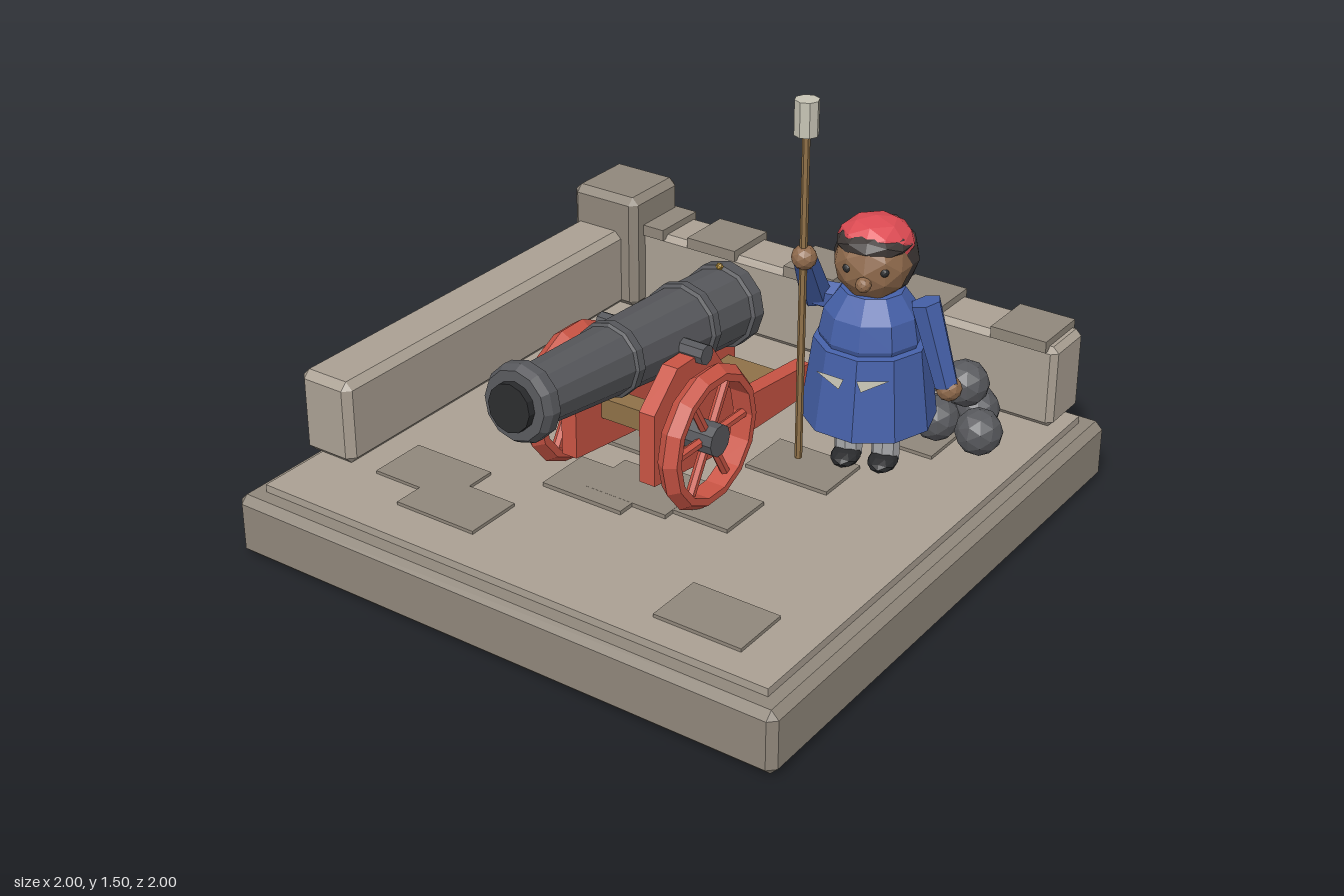
import * as THREE from 'three';
import { ConvexGeometry } from 'three/addons/geometries/ConvexGeometry.js';

const mat = (color) => new THREE.MeshStandardMaterial({ color, flatShading: true, side: THREE.DoubleSide });
const M = {
  stone: mat(0xaaa093), darkStone: mat(0x90877b), iron: mat(0x57585c), bore: mat(0x2a2b2d),
  red: mat(0xc95444), wood: mat(0x8f7148), blue: mat(0x4560a8), skin: mat(0x8f6a4c),
  hair: mat(0x3d3735), cap: mat(0xdb4a52), pale: mat(0xc6c3b4), trousers: mat(0xa9aaac), brass: mat(0xb8923a),
};

function add(parent, name, geometry, material, x = 0, y = 0, z = 0) {
  const mesh = new THREE.Mesh(geometry, material);
  mesh.name = name;
  mesh.position.set(x, y, z);
  parent.add(mesh);
  return mesh;
}

function group(parent, name) {
  const g = new THREE.Group();
  g.name = name;
  parent.add(g);
  return g;
}

// Box given by its limits on each axis
function box(parent, name, material, x0, x1, y0, y1, z0, z1) {
  return add(parent, name, new THREE.BoxGeometry(x1 - x0, y1 - y0, z1 - z0), material,
    (x0 + x1) / 2, (y0 + y1) / 2, (z0 + z1) / 2);
}

// Box with every edge chamfered by c
function chamferBox(parent, name, material, x0, x1, y0, y1, z0, z1, c) {
  const h = [(x1 - x0) / 2, (y1 - y0) / 2, (z1 - z0) / 2];
  const points = [];
  for (const sx of [-1, 1]) for (const sy of [-1, 1]) for (const sz of [-1, 1])
    for (let k = 0; k < 3; k++) {
      const [a, b, d] = h.map((v, i) => (i === k ? v : v - c));
      points.push(new THREE.Vector3(sx * a, sy * b, sz * d));
    }
  return add(parent, name, new ConvexGeometry(points), material,
    (x0 + x1) / 2, (y0 + y1) / 2, (z0 + z1) / 2);
}

// Tapered cylinder between two points
function rod(parent, name, material, from, to, r0, r1 = r0, sides = 6) {
  const a = new THREE.Vector3(...from), b = new THREE.Vector3(...to);
  const dir = b.clone().sub(a);
  const mesh = add(parent, name, new THREE.CylinderGeometry(r1, r0, dir.length(), sides), material);
  mesh.position.copy(a).add(b).multiplyScalar(0.5);
  mesh.quaternion.setFromUnitVectors(new THREE.Vector3(0, 1, 0), dir.normalize());
  return mesh;
}

const ball = (r, detail = 1) => new THREE.IcosahedronGeometry(r, detail);
const lathe = (pairs, sides) => new THREE.LatheGeometry(pairs.map((p) => new THREE.Vector2(...p)), sides);

function buildPlatform(root) {
  const g = group(root, 'platform');
  chamferBox(g, 'base', M.darkStone, -1, 1, 0, 0.21, -1, 1, 0.025);
  box(g, 'floor', M.stone, -0.935, 0.935, 0.2, 0.236, -0.93, 0.93);
  // Loose paving stones: x and z of the low corner
  const paving = [[-0.57, -0.4], [-0.7, 0.48], [-0.52, 0.585], [0.48, 0.63], [0.38, -0.6],
    [0.225, -0.22], [-0.295, -0.09], [0.1, 0.14], [-0.225, 0.24], [-0.1, 0.18]];
  paving.forEach(([x, z], i) =>
    box(g, 'pavingStone', M.darkStone, x, x + 0.3, 0.23, 0.246 + i * 0.0004, z, z + 0.2));
  // Parapet walls with a corner post
  chamferBox(g, 'backWall', M.stone, -0.9, 0.9, 0.236, 0.525, -0.99, -0.79, 0.02);
  chamferBox(g, 'sideWall', M.stone, -0.99, -0.785, 0.236, 0.525, -0.9, 0.7, 0.025);
  chamferBox(g, 'cornerPost', M.darkStone, -1, -0.725, 0.236, 0.66, -1, -0.725, 0.025);
  for (const x of [-0.74, -0.435, -0.033, 0.367, 0.767])
    box(g, 'copingStone', M.darkStone, x - 0.1, x + 0.1, 0.51, 0.55, -0.985, -0.78);
}

function buildBarrel(root) {
  const g = group(root, 'barrel');
  g.position.set(0, 0.702, 0.16);
  g.rotation.x = -0.093;
  // Profile of radius against distance ahead of the trunnions
  const profile = [[0, -0.43], [0.1, -0.42], [0.14, -0.405], [0.14, -0.355], [0.128, -0.35], [0.125, -0.175],
    [0.137, -0.17], [0.137, -0.14], [0.125, -0.135], [0.112, 0.2], [0.12, 0.205], [0.12, 0.235],
    [0.11, 0.24], [0.093, 0.6], [0.122, 0.615], [0.122, 0.65], [0.108, 0.675], [0, 0.675]];
  add(g, 'tube', lathe(profile, 12).rotateX(Math.PI / 2), M.iron);
  add(g, 'muzzle', new THREE.CylinderGeometry(0.075, 0.075, 0.05, 12).rotateX(Math.PI / 2), M.bore, 0, 0, 0.675);
  rod(g, 'breechNeck', M.iron, [0, 0, -0.5], [0, 0, -0.4], 0.025, 0.035, 8);
  add(g, 'breechKnob', ball(0.045), M.iron, 0, 0, -0.485);
  add(g, 'touchHole', ball(0.013, 0), M.brass, 0, 0.138, -0.345);
  rod(g, 'trunnions', M.iron, [-0.2, 0, 0], [0.2, 0, 0], 0.033, 0.033, 8);
}

function buildCarriage(root) {
  const g = group(root, 'carriage');
  // Side cheek outline as z, y
  const outline = [[0.4, 0.35], [0.4, 0.59], [0.28, 0.7], [0.1, 0.7], [0.02, 0.59], [-0.07, 0.44],
    [-0.47, 0.4], [-0.47, 0.29], [0.1, 0.31]];
  const cheek = new THREE.ExtrudeGeometry(new THREE.Shape(outline.map((p) => new THREE.Vector2(...p))),
    { depth: 0.056, bevelEnabled: false }).translate(0, 0, -0.028).rotateY(-Math.PI / 2);
  const rim = lathe([[0.188, -0.035], [0.212, -0.035], [0.236, 0], [0.212, 0.035], [0.188, 0.035],
    [0.188, -0.035]], 14).rotateZ(Math.PI / 2);
  for (const s of [-1, 1]) {
    add(g, 'cheek', cheek, M.red, s * 0.148);
    const wheel = group(g, 'wheel');
    wheel.position.set(s * 0.256, 0.473, 0.235);
    add(wheel, 'rim', rim, M.red);
    for (let i = 0; i < 6; i++) {
      const a = i * Math.PI / 3;
      rod(wheel, 'spoke', M.red, [0, 0, 0], [0, 0.2 * Math.sin(a), 0.2 * Math.cos(a)], 0.016);
    }
    rod(wheel, 'hub', M.iron, [-s * 0.075, 0, 0], [s * 0.045, 0, 0], 0.052, 0.052, 10);
  }
  box(g, 'axle', M.wood, -0.2, 0.2, 0.435, 0.505, 0.2, 0.27);
  box(g, 'bed', M.wood, -0.125, 0.125, 0.3, 0.36, -0.43, 0.05);
}

function buildGunner(root) {
  const g = group(root, 'gunner');
  const body = group(g, 'body');
  body.position.set(0.515, 0, -0.275);
  body.rotation.y = 0.3;
  // Coat skirt, with a ledge at the waist, and upper coat
  add(body, 'coatSkirt', lathe([[0, 0.415], [0.215, 0.415], [0.18, 0.68], [0.15, 0.685]], 10), M.blue);
  add(body, 'upperCoat', lathe([[0.15, 0.66], [0.165, 0.7], [0.15, 0.78], [0.1, 0.85], [0, 0.87]], 10), M.blue);
  const flap = new THREE.Shape([[-0.05, 0.02], [0.035, -0.02], [0.05, 0.015]].map((p) => new THREE.Vector2(...p)));
  for (const s of [-1, 1]) {
    const turnback = add(body, 'coatTurnback', new THREE.ShapeGeometry(flap).scale(-s, 1, 1), M.pale,
      s * 0.068 - 0.015, 0.605, 0.188);
    turnback.rotation.set(-0.13, s * 0.3, 0);
    rod(body, 'leg', M.trousers, [s * 0.06, 0.26, 0], [s * 0.06, 0.43, 0], 0.045, 0.048, 8);
    add(body, 'boot', ball(0.048).scale(1, 0.6, 1.5), M.bore, s * 0.06, 0.266, 0.03);
    add(body, 'eye', ball(0.015), M.bore, s * 0.057, 0.952, 0.108);
  }
  // Head, hair and cap overlap as faceted balls
  add(body, 'head', ball(0.122), M.skin, 0, 0.945, 0.015);
  add(body, 'nose', ball(0.025), M.skin, 0, 0.915, 0.135);
  add(body, 'hair', ball(0.134), M.hair, 0, 0.945, -0.03);
  add(body, 'fringe', ball(0.112).scale(1.06, 0.5, 1.06), M.hair, 0, 1.008, 0.004);
  const cap = add(body, 'cap', ball(0.122).scale(1, 0.66, 1), M.cap, 0, 1.003, -0.01);
  cap.rotation.y = 0.5;
  // Raised right arm and lowered left arm
  rod(g, 'raisedSleeve', M.blue, [0.345, 0.8, -0.22], [0.387, 0.98, -0.085], 0.05, 0.038);
  rod(g, 'raisedShoulder', M.blue, [0.42, 0.79, -0.26], [0.345, 0.81, -0.21], 0.05, 0.045);
  add(g, 'raisedHand', ball(0.04), M.skin, 0.395, 0.995, -0.065);
  rod(g, 'loweredSleeve', M.blue, [0.68, 0.83, -0.31], [0.755, 0.56, -0.33], 0.05, 0.04);
  add(g, 'loweredHand', ball(0.042), M.skin, 0.762, 0.547, -0.335);
  // Swab staff
  rod(g, 'staff', M.wood, [0.395, 0.31, -0.06], [0.395, 1.4, -0.06], 0.012);
  rod(g, 'swab', M.pale, [0.395, 1.39, -0.06], [0.395, 1.5, -0.06], 0.038, 0.038, 8);
}

function buildShot(root) {
  const g = group(root, 'cannonballPile');
  for (const [x, y, z] of [[0.63, 0.325, -0.51], [0.787, 0.325, -0.505], [0.707, 0.325, -0.635], [0.707, 0.455, -0.55]])
    add(g, 'cannonball', ball(0.078), M.iron, x, y, z);
}

export function createModel() {
  const root = new THREE.Group();
  root.name = 'gunBattery';
  buildPlatform(root);
  buildBarrel(root);
  buildCarriage(root);
  buildGunner(root);
  buildShot(root);
  return root;
}
